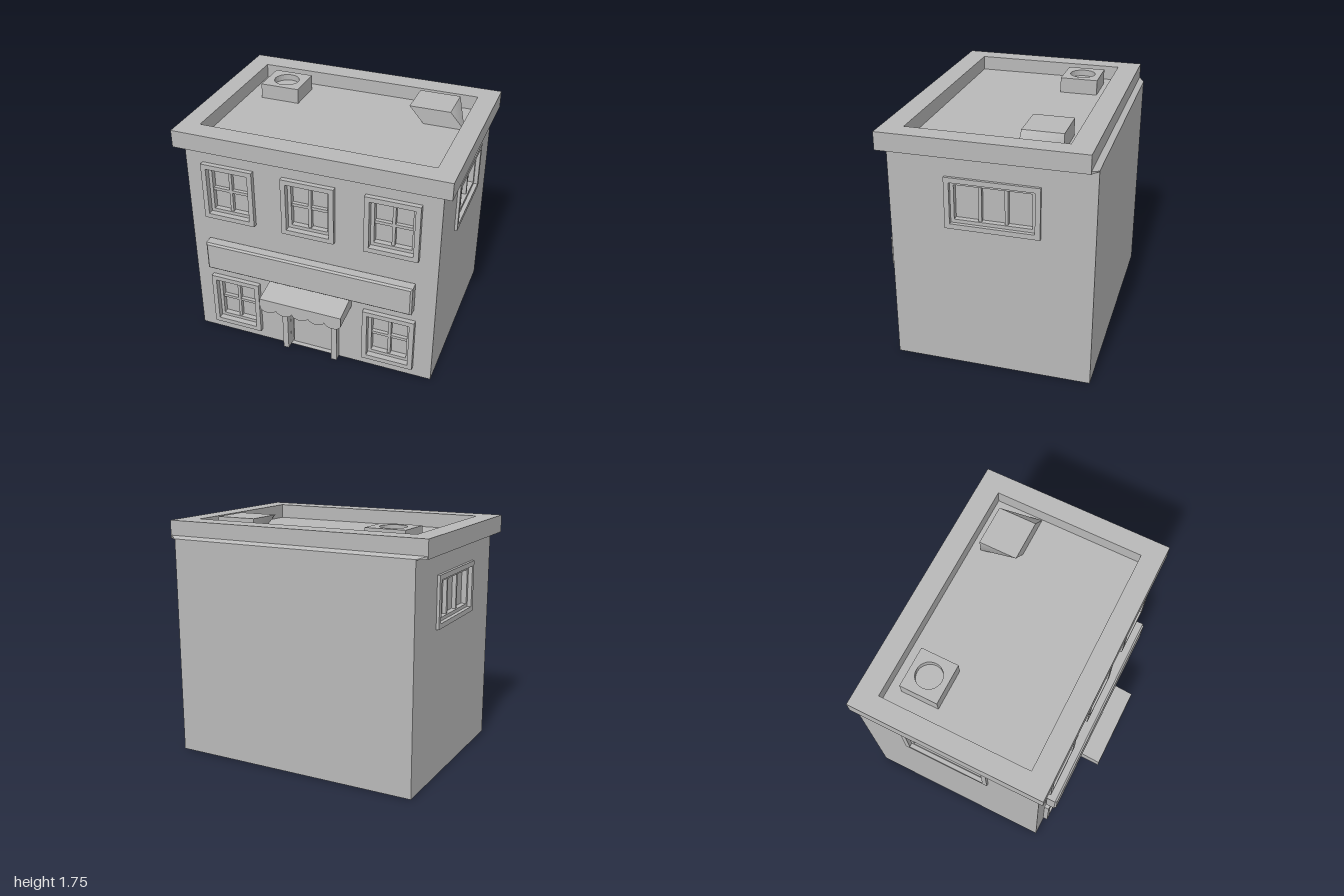
import * as THREE from 'three';

const plaster = new THREE.MeshStandardMaterial({ color: 0xb8b8b8 });
plaster.name = 'plaster grey';

function add(parent, name, geo, x = 0, y = 0, z = 0) {
  const m = new THREE.Mesh(geo, plaster);
  m.name = name;
  m.position.set(x, y, z);
  parent.add(m);
  return m;
}

// Box given by its min and max along each axis
function block(parent, name, x0, x1, y0, y1, z0, z1) {
  return add(parent, name, new THREE.BoxGeometry(x1 - x0, y1 - y0, z1 - z0),
    (x0 + x1) / 2, (y0 + y1) / 2, (z0 + z1) / 2);
}

// Box whose corners are moved by a rule
function bend(mesh, rule) {
  const p = mesh.geometry.attributes.position;
  const v = new THREE.Vector3();
  for (let i = 0; i < p.count; i++) {
    v.fromBufferAttribute(p, i);
    rule(v);
    p.setXYZ(i, v.x, v.y, v.z);
  }
  mesh.geometry.computeVertexNormals();
  return mesh;
}

function rect(path, x0, x1, y0, y1) {
  path.moveTo(x0, y0);
  path.lineTo(x1, y0);
  path.lineTo(x1, y1);
  path.lineTo(x0, y1);
  path.closePath();
  return path;
}

// Flat panel with rectangular holes, thickness along +z
function panel(outer, holes, depth) {
  const s = rect(new THREE.Shape(), ...outer);
  holes.forEach(h => s.holes.push(rect(new THREE.Path(), ...h)));
  return new THREE.ExtrudeGeometry(s, { depth, bevelEnabled: false });
}

function ring(w, h, border, depth) {
  const a = w / 2, b = h / 2;
  return panel([-a, a, -b, b], [[-a + border, a - border, -b + border, b - border]], depth);
}

// Window around its centre; the wall surface is local z = 0
function makeWindow(name, w, h, bars, crossbar, out) {
  const g = new THREE.Group();
  g.name = name;
  add(g, 'outerFrame', ring(w, h, 0.036, out));
  add(g, 'innerFrame', ring(w - 0.07, h - 0.07, 0.025, 0.04), 0, 0, -0.05);
  bars.forEach(x => block(g, 'uprightBar', x - 0.011, x + 0.011, -h / 2 + 0.05, h / 2 - 0.05, -0.05, -0.02));
  if (crossbar) block(g, 'crossBar', -w / 2 + 0.05, w / 2 - 0.05, -0.011, 0.011, -0.05, -0.022);
  return g;
}

export function createModel() {
  const model = new THREE.Group();
  model.name = 'shopBuilding';
  const T = 0.05, FRONT = 0.595, BACK = -0.82, SIDE = 0.935;

  // Core, seen as the glass and door at the back of each opening
  block(model, 'core', -SIDE + T, SIDE - T, 0, 1.6, BACK, FRONT - T);

  // Front wall, windows and door opening
  const spots = [[-0.61, 1.272], [-0.005, 1.272], [0.603, 1.272], [-0.61, 0.298], [0.603, 0.298]];
  const W = 0.39, H = 0.44;
  const hole = (x, y, w, h) => [x - w / 2 + 0.035, x + w / 2 - 0.035, y - h / 2 + 0.035, y + h / 2 - 0.035];
  const holes = spots.map(([x, y]) => hole(x, y, W, H));
  holes.push([-0.175, 0.175, 0.002, 0.37]);
  add(model, 'frontWall', panel([-SIDE, SIDE, 0, 1.6], holes, T), 0, 0, FRONT - T);
  spots.forEach(([x, y]) => {
    const w = makeWindow('frontWindow', W, H, [0], true, 0.036);
    w.position.set(x, y, FRONT);
    model.add(w);
  });

  // Side walls with a wide three-pane window each
  for (const s of [1, -1]) {
    const side = new THREE.Group();
    side.name = s > 0 ? 'leftSide' : 'rightSide';
    const cx = s * 0.128, back = -s * BACK, front = -s * (FRONT - T);
    add(side, 'sideWall', panel([Math.min(back, front), Math.max(back, front), 0, 1.6],
      [hole(cx, 1.26, 0.655, 0.37)], T), 0, 0, -T);
    const w = makeWindow('sideWindow', 0.655, 0.37, [-0.09, 0.09], false, 0.02);
    w.position.set(cx, 1.26, 0);
    side.add(w);
    side.rotation.y = s * Math.PI / 2;
    side.position.x = s * SIDE;
    model.add(side);
  }

  // Roof rim, sunken deck and rear flashing
  const rim = add(model, 'roofRim', panel([-1, 1, -0.65, 0.78], [[-0.855, 0.855, -0.495, 0.62]], 0.128), 0, 1.6, 0);
  rim.rotation.x = -Math.PI / 2;
  block(model, 'roofDeck', -0.86, 0.86, 1.598, 1.622, -0.625, 0.5);
  bend(block(model, 'rearFlashing', -1, 1, 1.598, 1.622, BACK, -0.775), v => {
    if (v.z < 0) {
      v.x *= 0.937;
      if (v.y > 0) v.y = -0.008;
    }
  });

  // Roof vent with a round well
  const ventShape = rect(new THREE.Shape(), -0.15, 0.15, -0.14, 0.14);
  ventShape.holes.push(new THREE.Path().absarc(0, 0, 0.095, 0, Math.PI * 2, true));
  const vent = add(model, 'roofVent',
    new THREE.ExtrudeGeometry(ventShape, { depth: 0.115, bevelEnabled: false, curveSegments: 14 }), -0.585, 1.62, -0.392);
  vent.rotation.x = -Math.PI / 2;
  add(model, 'ventFloor', new THREE.CylinderGeometry(0.096, 0.096, 0.07, 24), -0.585, 1.655, -0.392);

  // Slanted roof duct
  bend(block(model, 'roofDuct', 0.435, 0.74, 1.62, 1.745, -0.552, -0.267), v => {
    if (v.y < 0) v.x += v.z > 0 ? 0.11 : 0.005;
  });

  // Sign board with a softened edge
  const board = rect(new THREE.Shape(), -0.785, 0.77, 0.637, 0.84);
  add(model, 'signBoard', new THREE.ExtrudeGeometry(board,
    { depth: 0.065, bevelThickness: 0.013, bevelSize: 0.013, bevelSegments: 1 }), 0, 0, 0.603);

  // Awning: sloped top, cheeks and scalloped valance
  const awning = new THREE.Group();
  awning.name = 'awning';
  model.add(awning);
  const A = 0.313;
  bend(block(awning, 'awningTop', -A, A, 0.55, 0.57, 0.59, 0.82), v => {
    if (v.z < 0) v.y += 0.037;
  });
  const cheek = new THREE.Shape([[0.59, 0.605], [0.59, 0.51], [0.82, 0.49], [0.82, 0.568]]
    .map(([z, y]) => new THREE.Vector2(-z, y)));
  for (const x of [-A, A - 0.015]) {
    const c = add(awning, 'awningCheek', new THREE.ExtrudeGeometry(cheek, { depth: 0.015, bevelEnabled: false }), x);
    c.rotation.y = Math.PI / 2;
  }
  const valance = new THREE.Shape();
  const step = 2 * A / 5;
  valance.moveTo(-A, 0.568);
  valance.lineTo(-A, 0.495);
  for (let i = 0; i < 5; i++) {
    const x = -A + i * step;
    valance.bezierCurveTo(x + 0.015, 0.448, x + step - 0.015, 0.448, x + step, 0.495);
  }
  valance.lineTo(A, 0.568);
  valance.closePath();
  add(awning, 'valance', new THREE.ExtrudeGeometry(valance, { depth: 0.015, bevelEnabled: false, curveSegments: 8 }), 0, 0, 0.805);

  // Door posts, lintel and door leaf
  for (const x of [-0.197, 0.195]) block(model, 'doorPost', x - 0.021, x + 0.021, 0, 0.42, 0.59, 0.648);
  block(model, 'doorLintel', -0.18, 0.18, 0.355, 0.375, 0.55, 0.605);
  block(model, 'doorLeaf', -0.165, 0.165, 0.002, 0.27, 0.54, 0.56);

  return model;
}
